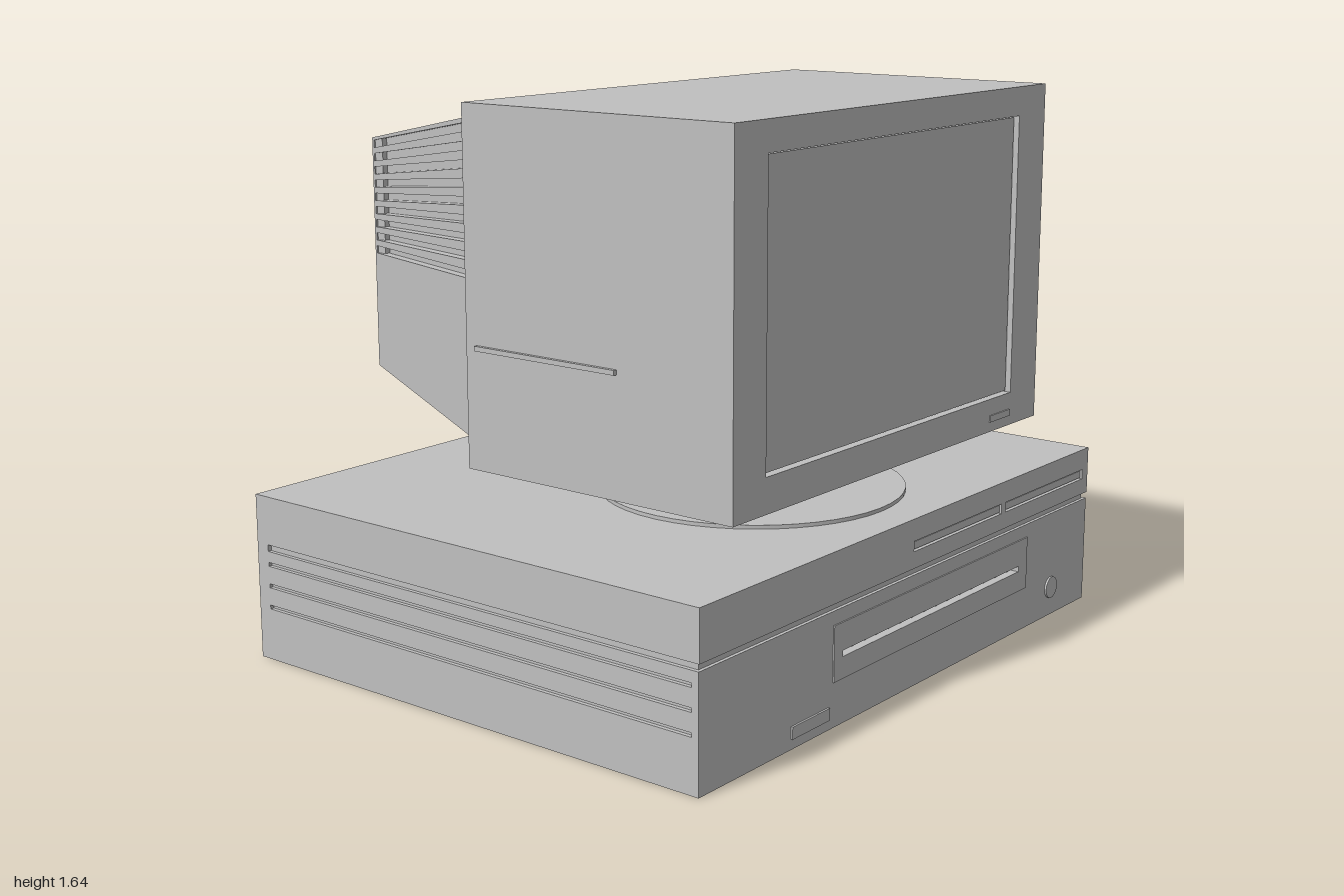
import * as THREE from 'three';
import { ConvexGeometry } from 'three/addons/geometries/ConvexGeometry.js';

const casing = new THREE.MeshStandardMaterial({ color: 0xc0c0c0 });
casing.name = 'casing grey';

export function createModel() {
  const root = new THREE.Group();
  root.name = 'desktopComputer';
  const computer = new THREE.Group();
  computer.name = 'computerCase';
  const monitor = new THREE.Group();
  monitor.name = 'monitor';
  root.add(computer, monitor);

  const add = (parent, name, geometry) => {
    const mesh = new THREE.Mesh(geometry, casing);
    mesh.name = name;
    parent.add(mesh);
    return mesh;
  };
  // Box given by its limits on each axis
  const box = (parent, name, x0, x1, y0, y1, z0, z1) => {
    const m = add(parent, name, new THREE.BoxGeometry(x1 - x0, y1 - y0, z1 - z0));
    m.position.set((x0 + x1) / 2, (y0 + y1) / 2, (z0 + z1) / 2);
    return m;
  };
  const disc = (parent, name, r, x, y0, y1, z) => {
    const m = add(parent, name, new THREE.CylinderGeometry(r, r, y1 - y0, 48));
    m.position.set(x, (y0 + y1) / 2, z);
  };
  const outline = (points, Kind = THREE.Shape) => new Kind(points.map(([a, b]) => new THREE.Vector2(a, b)));
  const rect = ([a0, a1, b0, b1]) => [[a0, b0], [a1, b0], [a1, b1], [a0, b1]];
  // Wall in the z-y plane between two x values, with rectangular holes [z0, z1, y0, y1]
  const wall = (parent, name, x0, x1, points, holes = []) => {
    const shape = outline(points);
    holes.forEach(h => shape.holes.push(outline(rect(h), THREE.Path)));
    const g = new THREE.ExtrudeGeometry(shape, { depth: x1 - x0, bevelEnabled: false });
    const m = add(parent, name, g);
    m.rotation.y = -Math.PI / 2;
    m.position.x = x1;
  };
  // Solid between two upright rectangles [x, y0, y1, z0, z1]
  const taper = (parent, name, ...ends) => add(parent, name, new ConvexGeometry(
    ends.flatMap(([x, y0, y1, z0, z1]) => [[y0, z0], [y0, z1], [y1, z0], [y1, z1]]
      .map(([y, z]) => new THREE.Vector3(x, y, z)))));

  // Case body with seam and long grooves cut into both sides
  const Z0 = -0.985, Z1 = 1, top = 0.495, cut = 0.012;
  const side = [[Z1, 0]];
  [[0.155, 0.167], [0.22, 0.232], [0.285, 0.297], [0.33, 0.35]].forEach(([a, b]) =>
    side.push([Z1, a], [Z1 - cut, a], [Z1 - cut, b], [Z1, b]));
  side.push([Z1, top]);
  const mirrored = side.map(([z, y]) => [Z0 + Z1 - z, y]).reverse();
  wall(computer, 'caseBody', -0.765, 0.8, [...side, ...mirrored]);

  // Case front: lower and upper fascia, with the seam left open between them
  const driveSlot = [-0.56, 0.38, 0.193, 0.21];
  wall(computer, 'lowerFascia', 0.8, 0.822, rect([Z0, Z1, 0, 0.33]), [driveSlot]);
  box(computer, 'frontSeam', 0.8, 0.812, 0.33, 0.35, Z0 + cut, Z1 - cut);
  const bays = [[-0.95, -0.475, 0.4, 0.43], [-0.45, 0.03, 0.4, 0.43]];
  wall(computer, 'upperFascia', 0.8, 0.824, rect([Z0, Z1, 0.35, top]), bays);
  bays.forEach(([a, b, c, d]) =>
    box(computer, 'bayCover', 0.8, 0.819, c + 0.004, d - 0.004, a + 0.004, b - 0.004));
  wall(computer, 'driveBezel', 0.821, 0.826, rect([-0.61, 0.42, 0.13, 0.29]), [driveSlot]);
  const button = add(computer, 'powerButton', new THREE.CylinderGeometry(0.034, 0.034, 0.012, 32));
  button.rotation.z = Math.PI / 2;
  button.position.set(0.822, 0.09, -0.77);
  box(computer, 'frontTab', 0.82, 0.828, 0.03, 0.065, 0.44, 0.61);

  // Case back: rim around three recessed areas
  wall(computer, 'rearFrame', -0.81, -0.765, rect([Z0, Z1, 0, top]),
    [[-0.91, -0.16, 0.04, 0.45], [-0.13, 0.46, 0.04, 0.46], [0.5, 0.95, 0.04, 0.46]]);
  const slits = [];
  for (let row = 0; row < 7; row++)
    for (let col = 0; col < 5; col++) {
      const z = -0.885 + col * 0.143, y = 0.185 + row * 0.036;
      slits.push([z, z + 0.125, y, y + 0.018]);
    }
  wall(computer, 'rearGrille', -0.8, -0.775, rect([-0.91, -0.16, 0.17, 0.45]), slits);
  [[-0.87, 0.03], [-0.74, 0.15], [-0.53, 0.15], [-0.33, 0.06], [-0.23, 0.04]].forEach(([z, w]) =>
    box(computer, 'rearPort', -0.8, -0.76, 0.08, 0.135, z, z + w));
  box(computer, 'socketPlate', -0.79, -0.76, 0.18, 0.46, 0.02, 0.46);
  [0.21, 0.32].forEach(y => wall(computer, 'powerSocket', -0.805, -0.76,
    rect([-0.1, 0.0, y, y + 0.085]), [[-0.08, -0.02, y + 0.02, y + 0.065]]));
  box(computer, 'rearConnector', -0.828, -0.76, 0.095, 0.135, -0.04, 0.08);
  [0.13, 0.19].forEach(y => box(computer, 'audioJack', -0.805, -0.76, y, y + 0.03, 0.36, 0.39));
  for (let i = 0; i < 4; i++)
    box(computer, 'expansionCover', -0.8, -0.76, 0.07, 0.45, 0.53 + i * 0.105, 0.585 + i * 0.105);

  // Sloped latch on the right side
  add(computer, 'sideLatch', new ConvexGeometry([-0.63, -0.48].flatMap(x =>
    [[0, -0.97], [0, -1], [0.02, -1], [0.1, -0.986], [0.1, -0.97]].map(([y, z]) => new THREE.Vector3(x, y, z)))));

  // Monitor foot
  disc(monitor, 'standPlate', 0.45, 0.26, top, 0.506, 0.03);
  disc(monitor, 'standNeck', 0.08, 0.26, 0.5, 0.625, 0.03);
  disc(monitor, 'standCollar', 0.12, 0.26, 0.617, 0.632, 0.03);

  // Front housing with a recessed screen
  box(monitor, 'housing', -0.17, 0.72, 0.63, 1.645, -0.76, 0.77);
  wall(monitor, 'screenFrame', 0.72, 0.75, rect([-0.76, 0.77, 0.63, 1.645]), [[-0.61, 0.63, 0.73, 1.56]]);
  box(monitor, 'screen', 0.72, 0.735, 0.735, 1.555, -0.605, 0.625);
  box(monitor, 'monitorButton', 0.74, 0.754, 0.66, 0.68, -0.605, -0.49);
  [-0.765, 0.775].forEach(z => box(monitor, 'sideRib', -0.13, 0.37, 0.97, 0.984, z - 0.006, z + 0.006));

  // Bevelled neck and tapering rear
  taper(monitor, 'bevel', [-0.17, 0.63, 1.645, -0.76, 0.77], [-0.21, 0.685, 1.6, -0.685, 0.695]);
  const wallT = 0.03;
  taper(monitor, 'rearCore', [-0.21, 0.685, 1.6, -0.685 + wallT, 0.695 - wallT],
    [-0.745, 0.792, 1.498, -0.527 + wallT, 0.532 - wallT]);
  for (let i = 0; i < 16; i++) {
    const bar = box(monitor, 'topVent', -0.209, -0.171, 1.619, 1.627, -0.225 + i * 0.03, -0.21 + i * 0.03);
    bar.rotation.z = Math.atan2(0.045, 0.04);
  }

  // Slotted side walls, sheared to follow the taper
  for (const s of [1, -1]) {
    const shape = outline([[-0.785, 0.8], [-0.21, 0.685], [-0.21, 1.6], [-0.785, 1.49]]);
    for (let i = 0; i < 9; i++) {
      const a = 1.145 + i * 0.0395, b = 1.147 + i * 0.0515;
      shape.holes.push(outline([[-0.775, a], [-0.225, b], [-0.225, b + 0.024], [-0.775, a + 0.022]], THREE.Path));
    }
    const g = new THREE.ExtrudeGeometry(shape, { depth: wallT, bevelEnabled: false });
    const p = g.attributes.position;
    for (let i = 0; i < p.count; i++) {
      const face = 0.69 + (p.getX(i) + 0.21) * 0.3;
      const depth = s > 0 ? p.getZ(i) - wallT : p.getZ(i);
      p.setZ(i, 0.005 + s * face + depth);
    }
    g.computeVertexNormals();
    add(monitor, 'slottedSide', g);
  }

  // Back panel: connector recess above a row of upright vents
  const rear = [[-0.45, 0.46, 1.29, 1.44]];
  for (let i = 0; i < 14; i++) rear.push([-0.41 + i * 0.06, -0.38 + i * 0.06, 0.85, 1.17]);
  wall(monitor, 'rearPanel', -0.785, -0.745, rect([-0.515, 0.52, 0.8, 1.49]), rear);
  box(monitor, 'ratingPlate', -0.765, -0.74, 1.33, 1.41, -0.2, 0.12);
  wall(monitor, 'monitorSocket', -0.808, -0.74, rect([0.33, 0.42, 1.37, 1.45]), [[0.35, 0.4, 1.39, 1.43]]);
  box(monitor, 'rearTab', -0.79, -0.75, 1.09, 1.15, -0.05, 0.05);

  // Swivel mount under the rear
  disc(monitor, 'swivelMount', 0.42, -0.23, 0.662, 0.78, 0.005);
  disc(monitor, 'swivelPlate', 0.2, -0.18, 0.654, 0.663, 0.005);
  return root;
}
